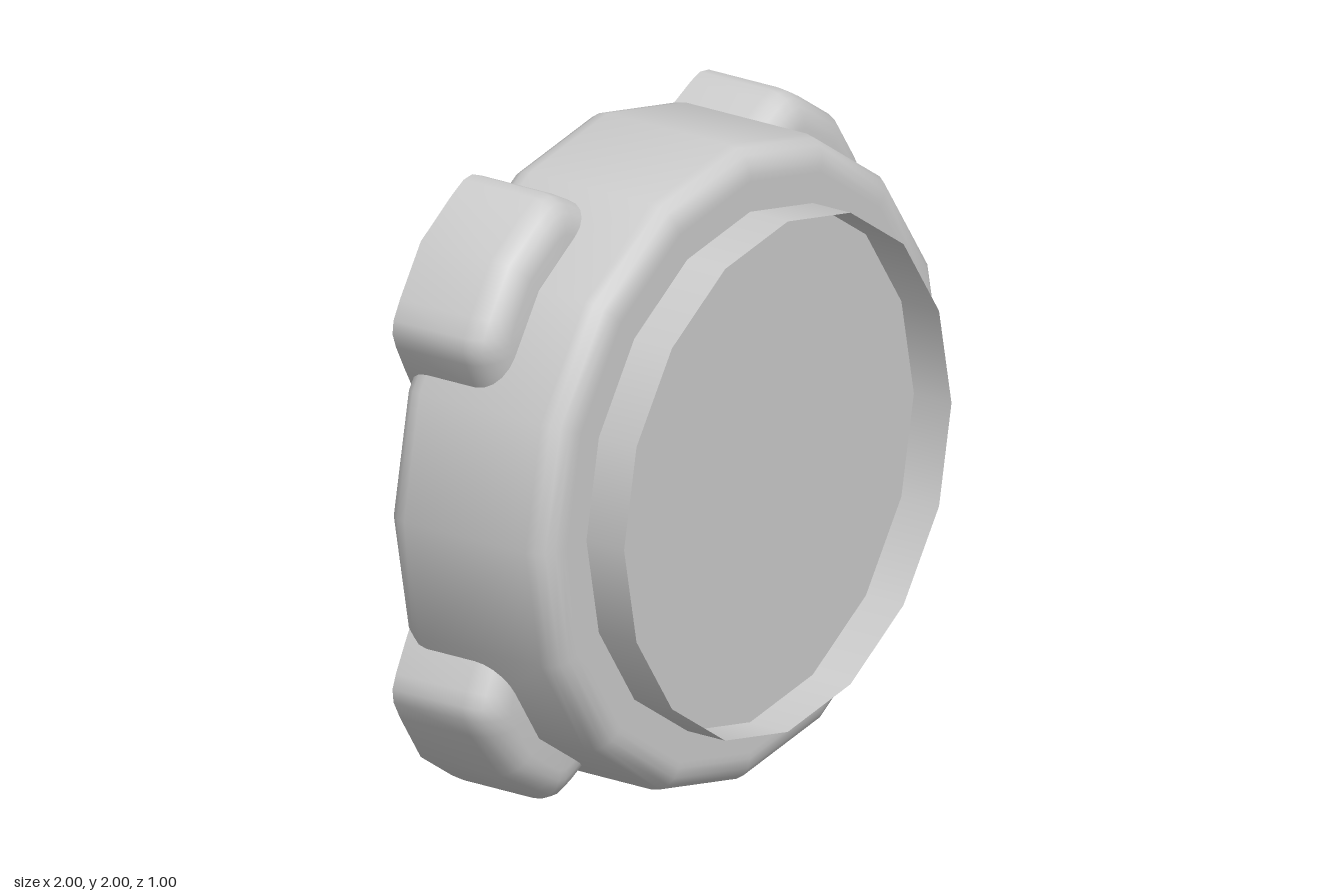
import * as THREE from 'three';
import { toCreasedNormals } from 'three/addons/utils/BufferGeometryUtils.js';

const SIDES = 16;
const BACK = -0.25;

// Quarter-round profile points [radius, z] for a corner
function fillet(r, z, size, from, to, steps = 4) {
  const pts = [];
  for (let i = 0; i <= steps; i++) {
    const a = from + (to - from) * i / steps;
    pts.push(new THREE.Vector2(r + size * Math.cos(a), z + size * Math.sin(a)));
  }
  return pts;
}

// Lug: one outline lofted forward, shrinking over a rounded front edge
function lugGeometry() {
  const half = [[0.8, 0.27], [0.89, 0.43], [0.935, 0.515], [0.952, 0.56], [0.947, 0.602], [0.915, 0.66]];
  const outline = [...half, [0.813, 0.813], ...half.map(([x, y]) => [y, x]).reverse(), [0.4, 0.4]];
  const c = 0.6, n = outline.length;
  const rings = [[1, BACK]];
  for (let i = 0; i <= 5; i++) {
    const a = i / 5 * Math.PI / 2;
    rings.push([0.69 + 0.31 * Math.cos(a), 0.01 + 0.1 * Math.sin(a)]);
  }
  const pos = [], index = [];
  for (const [k, z] of rings)
    for (const [x, y] of outline) pos.push(c + (x - c) * k, c + (y - c) * k, z);
  for (let r = 0; r < rings.length - 1; r++)
    for (let i = 0; i < n; i++) {
      const a = r * n + i, b = r * n + (i + 1) % n;
      index.push(a, b, b + n, a, b + n, a + n);
    }
  // back and front caps
  const backCentre = pos.length / 3, front = (rings.length - 1) * n;
  pos.push(c, c, BACK, c, c, 0.11);
  for (let i = 0; i < n; i++) {
    const j = (i + 1) % n;
    index.push(backCentre, j, i, backCentre + 1, front + i, front + j);
  }
  const g = new THREE.BufferGeometry();
  g.setAttribute('position', new THREE.Float32BufferAttribute(pos, 3));
  g.setIndex(index);
  return toCreasedNormals(g, 0.75);
}

export function createModel() {
  const group = new THREE.Group();
  const material = new THREE.MeshStandardMaterial({ color: 0xcccccc });
  const add = (name, geometry, mat = material) => {
    const mesh = new THREE.Mesh(geometry, mat);
    mesh.name = name;
    mesh.position.y = 1;
    group.add(mesh);
    return mesh;
  };

  // Main disc with rounded rims
  const profile = [
    new THREE.Vector2(0, BACK), new THREE.Vector2(0.9, BACK),
    ...fillet(0.92, BACK + 0.08, 0.08, -Math.PI / 2, 0),
    ...fillet(0.92, 0.28, 0.08, 0, Math.PI / 2),
    new THREE.Vector2(0.9, 0.36), new THREE.Vector2(0, 0.36),
  ];
  add('disc', toCreasedNormals(new THREE.LatheGeometry(profile, SIDES).rotateX(Math.PI / 2), 0.6));

  // Thin open collar standing on the front face
  const thin = material.clone();
  thin.side = THREE.DoubleSide;
  const collar = new THREE.CylinderGeometry(0.805, 0.805, 0.14, SIDES, 1, true);
  add('frontCollar', collar.rotateX(Math.PI / 2), thin).position.z = 0.43;

  // Four lugs on the diagonals
  const lug = lugGeometry();
  for (let i = 0; i < 4; i++) add('lug' + (i + 1), lug).rotation.z = i * Math.PI / 2;

  // Pyramid spike on the back
  const spike = new THREE.ConeGeometry(0.33 * Math.SQRT2, 0.25, 4, 1, true);
  spike.rotateY(Math.PI / 4).rotateX(-Math.PI / 2);
  add('backSpike', toCreasedNormals(spike, 0.1)).position.z = -0.375;

  return group;
}
